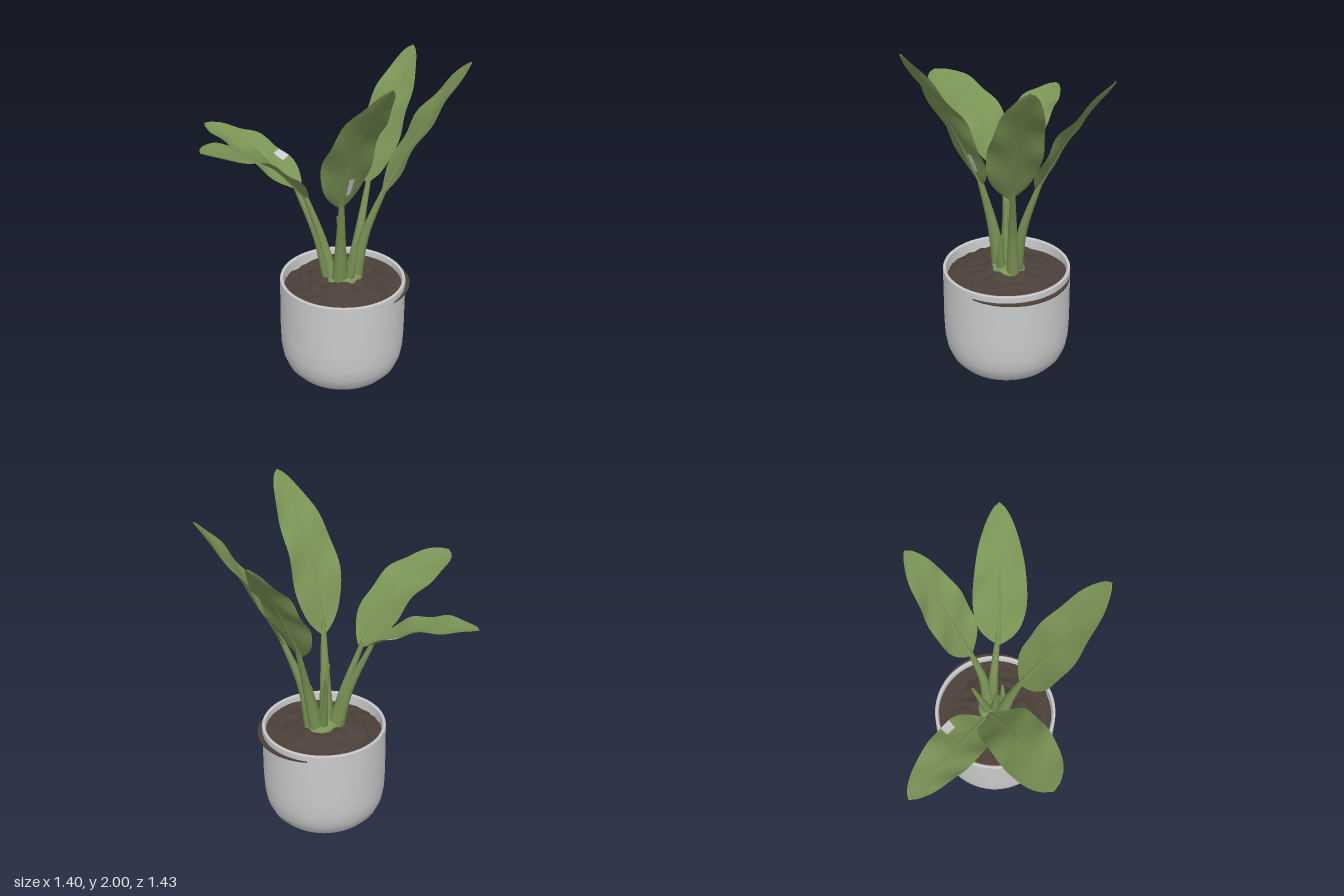
import * as THREE from 'three';

const curve = (points) => new THREE.CatmullRomCurve3(points.map((p) => new THREE.Vector3(...p)));
const material = (name, color, side) => {
  const m = new THREE.MeshStandardMaterial({ color, side });
  m.name = name;
  return m;
};

// Tube along a path, thinning from radius r0 to r1
function taperedTube(points, r0, r1) {
  const path = curve(points);
  const n = 28, sides = 12;
  const geo = new THREE.TubeGeometry(path, n, 1, sides);
  const pos = geo.attributes.position, p = new THREE.Vector3();
  for (let i = 0; i <= n; i++) {
    const c = path.getPointAt(i / n), r = THREE.MathUtils.lerp(r0, r1, (i / n) ** 0.8);
    for (let j = 0; j <= sides; j++) {
      const k = i * (sides + 1) + j;
      p.fromBufferAttribute(pos, k).sub(c).multiplyScalar(r).add(c);
      pos.setXYZ(k, p.x, p.y, p.z);
    }
  }
  return geo;
}

// Blade: thin two-sided cross-sections swept along the midrib; a small patch may be bare
function bladeGeometry({ rib, width, taper, fold, seed, patch }) {
  const path = curve(rib);
  const dir = path.getPoint(1).sub(path.getPoint(0)).setY(0).normalize();
  const side = new THREE.Vector3(0, 1, 0).cross(dir);
  const n = 40, m = 16, verts = [], green = [], bare = [];
  for (const face of [1, -1]) {
    const start = verts.length / 3;
    for (let i = 0; i <= n; i++) {
      const t = i / n, c = path.getPointAt(t);
      const up = path.getTangentAt(t).cross(side).normalize();
      // Round base, then narrowing to the tip
      const w = 0.002 + width * (1 - 0.9 * (1 - t) ** 8) * Math.max(0, 1 - t ** taper) ** 0.7;
      for (let j = 0; j <= m; j++) {
        const v = (j / m) * 2 - 1;
        const ripple = 0.012 * Math.abs(v) * Math.sin(t * 17 + seed + v * 2) * Math.sin(Math.PI * t);
        const lift = fold * w * v * v + ripple + face * 0.004 * (1 - v * v);
        const p = c.clone().addScaledVector(side, v * w).addScaledVector(up, lift);
        verts.push(p.x, p.y, p.z);
      }
    }
    for (let i = 0; i < n; i++) for (let j = 0; j < m; j++) {
      const a = start + i * (m + 1) + j, b = a + 1, c = a + m + 1, d = c + 1;
      const hit = patch && patch.face === face && i >= patch.i[0] && i < patch.i[1]
        && j >= patch.j[0] && j < patch.j[1];
      (hit ? bare : green).push(...(face > 0 ? [a, c, b, b, c, d] : [a, b, c, b, d, c]));
    }
  }
  const geo = new THREE.BufferGeometry();
  geo.setAttribute('position', new THREE.Float32BufferAttribute(verts, 3));
  geo.setIndex([...green, ...bare]);
  geo.addGroup(0, green.length, 0);
  geo.addGroup(green.length, bare.length, 1);
  geo.computeVertexNormals();
  return geo;
}

export function createModel() {
  const group = new THREE.Group();
  const leafMat = material('leaf green', 0x7a9455, THREE.DoubleSide);
  const potMat = material('pot grey', 0xcacaca, THREE.DoubleSide);
  const soilMat = material('soil brown', 0x4b4039, THREE.DoubleSide);
  const add = (name, geo, mat, x = 0, y = 0, z = 0) => {
    const mesh = new THREE.Mesh(geo, mat);
    mesh.name = name;
    mesh.position.set(x, y, z);
    group.add(mesh);
    return mesh;
  };
  const CX = 0.125, CZ = -0.085;

  // Pot with rounded foot, thin rim and inner wall
  const profile = [[0, 0], [0.2, 0], [0.235, 0.004], [0.285, 0.028], [0.325, 0.072], [0.35, 0.13],
    [0.362, 0.2], [0.366, 0.3], [0.366, 0.622], [0.363, 0.63], [0.35, 0.63], [0.345, 0.622], [0.34, 0.52]];
  add('pot', new THREE.LatheGeometry(profile.map(([x, y]) => new THREE.Vector2(x, y)), 64), potMat, CX, 0, CZ);
  add('drainHole', new THREE.CylinderGeometry(0.02, 0.02, 0.004, 20), soilMat, CX, 0.001, CZ);

  // Mounded, lumpy soil
  const soil = new THREE.RingGeometry(0.001, 0.342, 64, 20).rotateX(-Math.PI / 2);
  const sp = soil.attributes.position;
  for (let i = 0; i < sp.count; i++) {
    const x = sp.getX(i), z = sp.getZ(i), r = Math.hypot(x, z) / 0.342;
    const lumps = Math.sin(x * 31 + 3 * Math.sin(z * 19)) * Math.cos(z * 27 + 2 * Math.sin(x * 23));
    sp.setY(i, 0.632 - 0.065 * r * r + 0.013 * lumps);
  }
  soil.computeVertexNormals();
  add('soil', soil, soilMat, CX, 0, CZ);
  // Soil edge showing through the back of the pot
  add('soilEdge', new THREE.CylinderGeometry(0.335, 0.335, 0.008, 64), soilMat, 0.148, 0.588, -0.14);

  // Leaf: stalk, midrib and blade
  const addLeaf = (name, radius, stalk, blade) => {
    add(name + 'Stalk', taperedTube(stalk, radius, 0.013), leafMat);
    add(name + 'Midrib', taperedTube(blade.rib, 0.013, 0.002), leafMat);
    add(name, bladeGeometry(blade), [leafMat, potMat]);
  };
  addLeaf('rightLeaf', 0.04, [[0.07, 0.6, -0.03], [0.01, 0.87, 0.01], [-0.1, 1.18, 0.085]], {
    rib: [[-0.07, 1.17, 0.075], [-0.36, 1.335, 0.18], [-0.7, 1.425, 0.285]],
    width: 0.138, taper: 3.3, fold: 0.22, seed: 0, patch: { face: 1, i: [11, 15], j: [0, 3] } });
  addLeaf('frontLeaf', 0.04, [[0.09, 0.6, -0.04], [0.035, 0.87, 0], [-0.03, 1.17, 0.08]], {
    rib: [[-0.02, 1.14, 0.07], [-0.045, 1.42, 0.34], [-0.09, 1.565, 0.715]],
    width: 0.16, taper: 7, fold: 0.12, seed: 2 });
  addLeaf('leftLeaf', 0.05, [[0.14, 0.6, -0.05], [0.175, 0.88, -0.025], [0.24, 1.22, 0.025]], {
    rib: [[0.225, 1.15, 0.015], [0.41, 1.58, 0.085], [0.7, 2, 0.1]],
    width: 0.163, taper: 3.2, fold: 0.12, seed: 4, patch: { face: -1, i: [4, 9], j: [9, 11] } });
  addLeaf('backRightLeaf', 0.042, [[0.12, 0.6, -0.15], [0.125, 0.9, -0.21], [0.09, 1.22, -0.31]], {
    rib: [[0.09, 1.17, -0.285], [0.04, 1.55, -0.49], [-0.015, 1.87, -0.715]],
    width: 0.14, taper: 3.3, fold: 0.15, seed: 1 });
  addLeaf('backLeftLeaf', 0.042, [[0.15, 0.6, -0.16], [0.19, 0.9, -0.195], [0.28, 1.24, -0.28]], {
    rib: [[0.265, 1.16, -0.25], [0.395, 1.58, -0.43], [0.53, 1.935, -0.63]],
    width: 0.157, taper: 3, fold: 0.15, seed: 3 });

  // Young shoots and the sheath at the crown
  const shoots = [
    [[0.1, 0.6, -0.12], [0.05, 0.84, -0.14], [0.02, 0.985, -0.165]],
    [[0.13, 0.6, -0.1], [0.12, 0.85, -0.075], [0.105, 1.02, -0.06]],
    [[0.17, 0.6, -0.09], [0.19, 0.72, -0.1], [0.2, 0.86, -0.12]],
  ];
  shoots.forEach((s, i) => add('shoot' + (i + 1), taperedTube(s, 0.034, 0.008), leafMat));
  const crown = add('crown', new THREE.SphereGeometry(0.1, 24, 12), leafMat, 0.13, 0.62, -0.095);
  crown.scale.set(0.95, 0.4, 1.1);

  return group;
}
